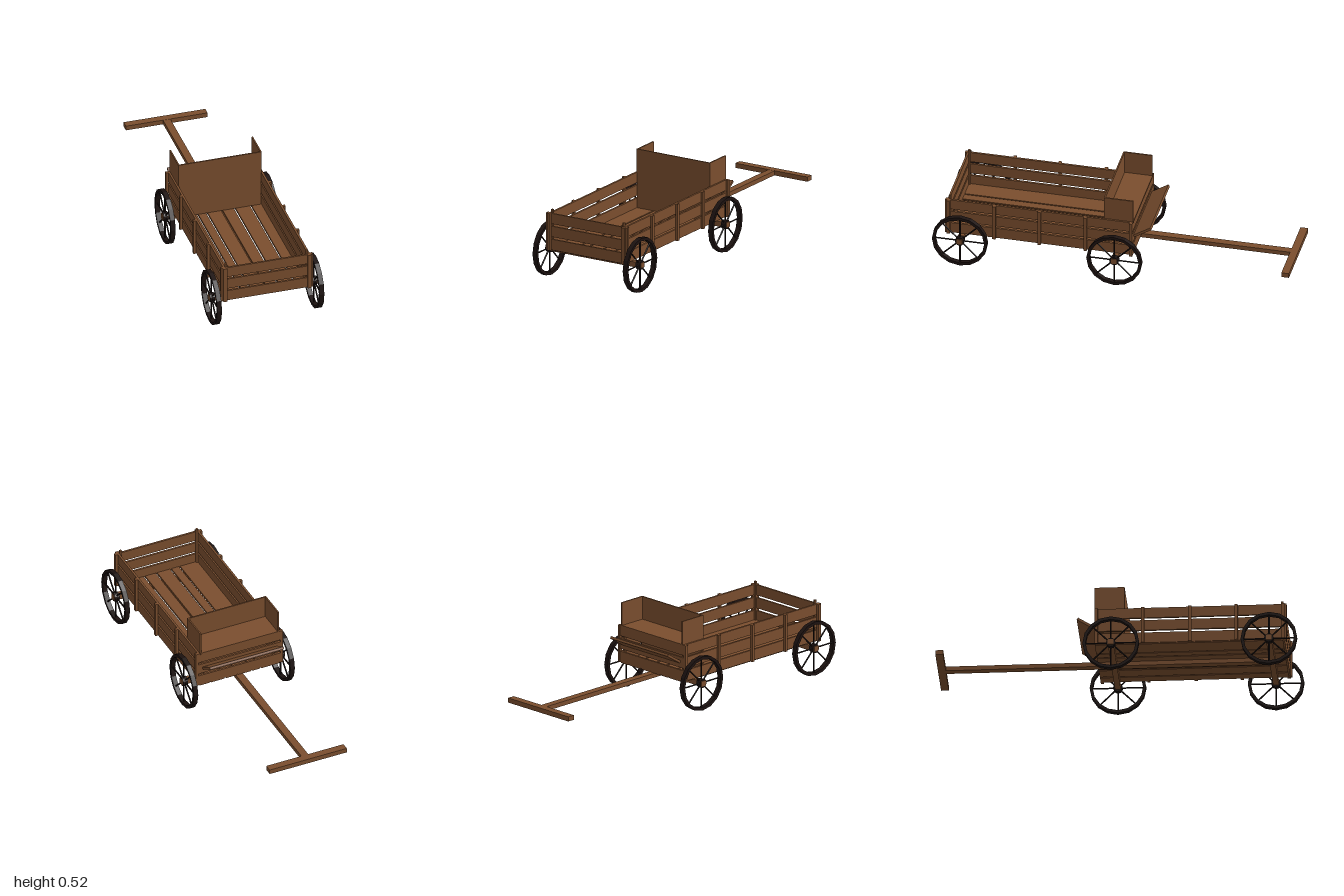
import * as THREE from 'three';

const wood = new THREE.MeshStandardMaterial({ color: 0x7a4e2e, flatShading: true });
const iron = new THREE.MeshStandardMaterial({ color: 0x1c1210, flatShading: true });

// Box given by its minimum and maximum on each axis
function box(parent, name, [x0, x1], [y0, y1], [z0, z1], material = wood) {
  const mesh = new THREE.Mesh(new THREE.BoxGeometry(x1 - x0, y1 - y0, z1 - z0), material);
  mesh.position.set((x0 + x1) / 2, (y0 + y1) / 2, (z0 + z1) / 2);
  mesh.name = name;
  parent.add(mesh);
  return mesh;
}

// Same box on both sides of the model
function pair(parent, name, [x0, x1], y, z) {
  box(parent, name + 'Left', [x0, x1], y, z);
  box(parent, name + 'Right', [-x1, -x0], y, z);
}

// Spoked wheel turning about the x axis
function createWheel() {
  const wheel = new THREE.Group();
  const R = 0.156, inner = 0.139, half = 0.0135;
  const profile = [[inner, -half], [R, -half], [R, half], [inner, half], [inner, -half]]
    .map(([r, y]) => new THREE.Vector2(r, y));
  const rim = new THREE.Mesh(new THREE.LatheGeometry(profile, 16), iron);
  rim.name = 'rim';
  rim.rotation.z = Math.PI / 2;
  const hub = new THREE.Mesh(new THREE.CylinderGeometry(0.026, 0.026, 0.028, 12), iron);
  hub.name = 'hub';
  hub.rotation.z = Math.PI / 2;
  wheel.add(rim, hub);
  for (let i = 0; i < 8; i++) {
    const a = i * Math.PI / 4;
    const spoke = new THREE.Mesh(new THREE.CylinderGeometry(0.0045, 0.0045, 0.125, 6), iron);
    spoke.name = 'spoke';
    spoke.position.set(0, Math.cos(a) * 0.082, Math.sin(a) * 0.082);
    spoke.rotation.x = a;
    wheel.add(spoke);
  }
  return wheel;
}

export function createModel() {
  const wagon = new THREE.Group();
  wagon.name = 'wagon';

  // Axles and wheels
  for (const [label, z] of [['rear', -0.028], ['front', 0.844]]) {
    box(wagon, label + 'Axle', [-0.313, 0.313], [0.142, 0.172], [z - 0.016, z + 0.016]);
    for (const side of [-1, 1]) {
      const wheel = createWheel();
      wheel.name = label + (side > 0 ? 'LeftWheel' : 'RightWheel');
      wheel.position.set(side * 0.2945, 0.1565, z);
      wagon.add(wheel);
    }
  }

  // Tongue with its crossbar
  box(wagon, 'tongue', [-0.021, 0.021], [0.145, 0.17], [-0.96, 0.844]);
  box(wagon, 'crossbar', [-0.235, 0.235], [0.144, 0.171], [-1, -0.957]);

  // Floor boards of uneven width
  const boards = [[-0.244, -0.133], [-0.125, -0.08], [-0.071, 0.007],
    [0.016, 0.08], [0.09, 0.173], [0.182, 0.242]];
  for (const x of boards) box(wagon, 'floorBoard', x, [0.169, 0.181], [-0.12, 0.918]);

  // Slatted walls
  for (const y of [[0.174, 0.236], [0.25, 0.311], [0.325, 0.385]]) {
    pair(wagon, 'sideSlat', [0.238, 0.25], y, [-0.12, 0.938]);
    box(wagon, 'tailSlat', [-0.238, 0.238], y, [0.916, 0.927]);
    box(wagon, 'headSlat', [-0.24, 0.24], y, [-0.12, -0.109]);
  }

  // Posts along the sides and at the corners
  for (const z of [0.918, 0.66, 0.405, 0.145, -0.112])
    pair(wagon, 'sidePost', [0.25, 0.265], [0.172, 0.385], [z - 0.009, z + 0.009]);
  pair(wagon, 'tailPost', [0.232, 0.253], [0.172, 0.385], [0.925, 0.938]);
  pair(wagon, 'tailStake', [0.227, 0.239], [0.175, 0.406], [0.907, 0.919]);
  pair(wagon, 'headStake', [0.225, 0.238], [0.175, 0.385], [-0.109, -0.095]);

  // Bench: seat, tall backrest and side panels
  box(wagon, 'seat', [-0.236, 0.236], [0.376, 0.388], [-0.122, 0.04]);
  box(wagon, 'backrest', [-0.237, 0.237], [0.181, 0.52], [0.036, 0.044]);
  pair(wagon, 'seatSide', [0.232, 0.24], [0.385, 0.52], [-0.121, 0.044]);

  // Slanted footboard
  const footboard = box(wagon, 'footboard', [-0.225, 0.225], [0.306, 0.32], [-0.226, -0.112]);
  footboard.rotation.x = 0.56;

  return wagon;
}
